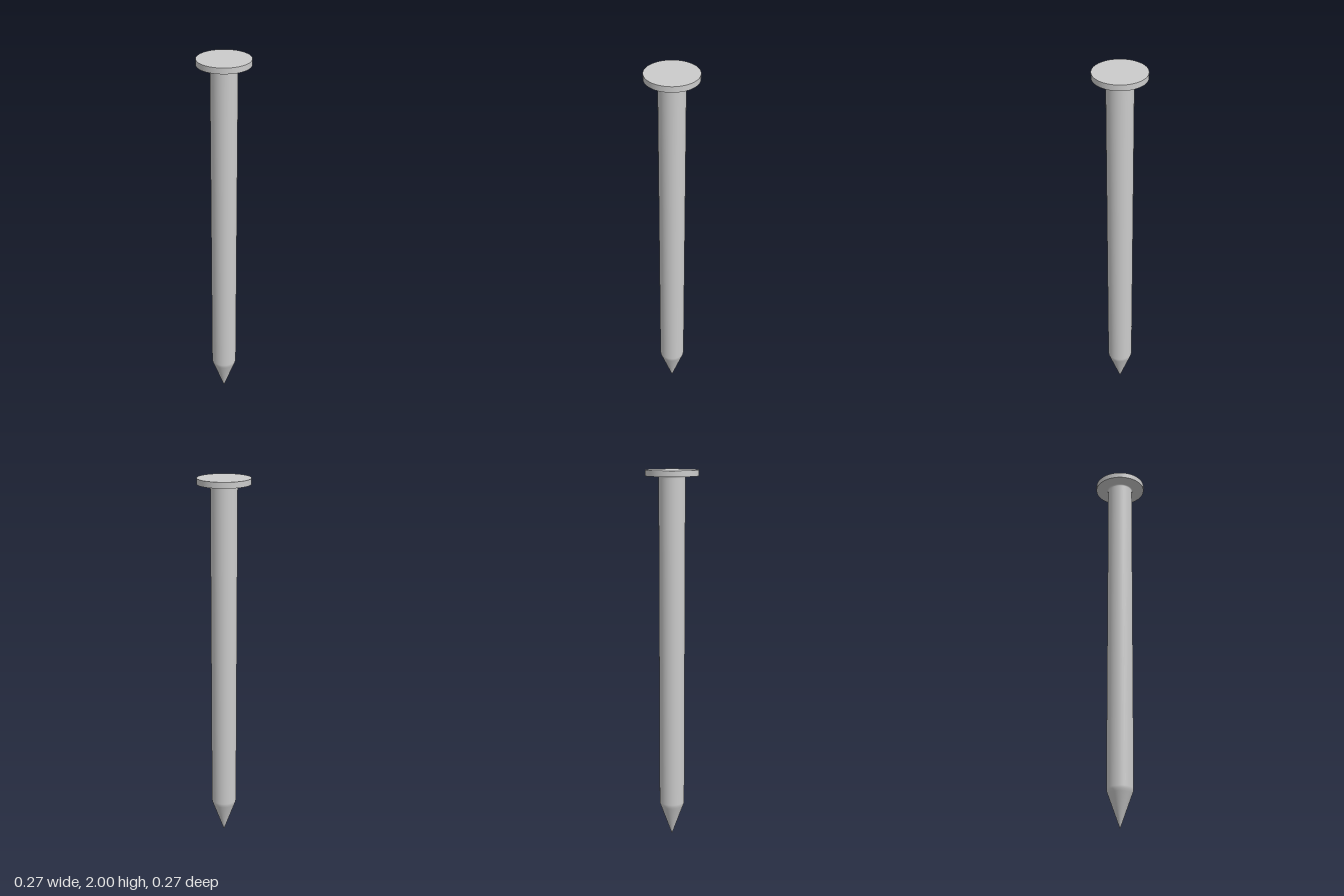
import * as THREE from 'three';

export function createModel() {
  const group = new THREE.Group();
  group.name = 'nail';
  const material = new THREE.MeshStandardMaterial({ color: 0xcccccc });
  const sides = 64;
  const radius = 0.068, headBottom = 1.97, fillet = 0.008;

  // Shank: pointed tip, slightly softened shoulder, straight shaft, small fillet under the head
  const profile = [[0, 0], [0.062, 0.175], [0.0665, 0.187], [radius, 0.2], [radius, headBottom - fillet - 0.01]];
  for (let i = 0; i <= 4; i++) {
    const a = (i / 4) * Math.PI / 2;
    profile.push([radius + fillet * (1 - Math.cos(a)), headBottom - fillet * (1 - Math.sin(a))]);
  }
  const shank = new THREE.Mesh(
    new THREE.LatheGeometry(profile.map(([x, y]) => new THREE.Vector2(x, y)), sides), material);
  shank.name = 'shank';
  group.add(shank);

  // Flat disc head
  const thickness = 2 - headBottom;
  const head = new THREE.Mesh(new THREE.CylinderGeometry(0.136, 0.136, thickness, sides), material);
  head.name = 'head';
  head.position.y = headBottom + thickness / 2;
  group.add(head);

  return group;
}
